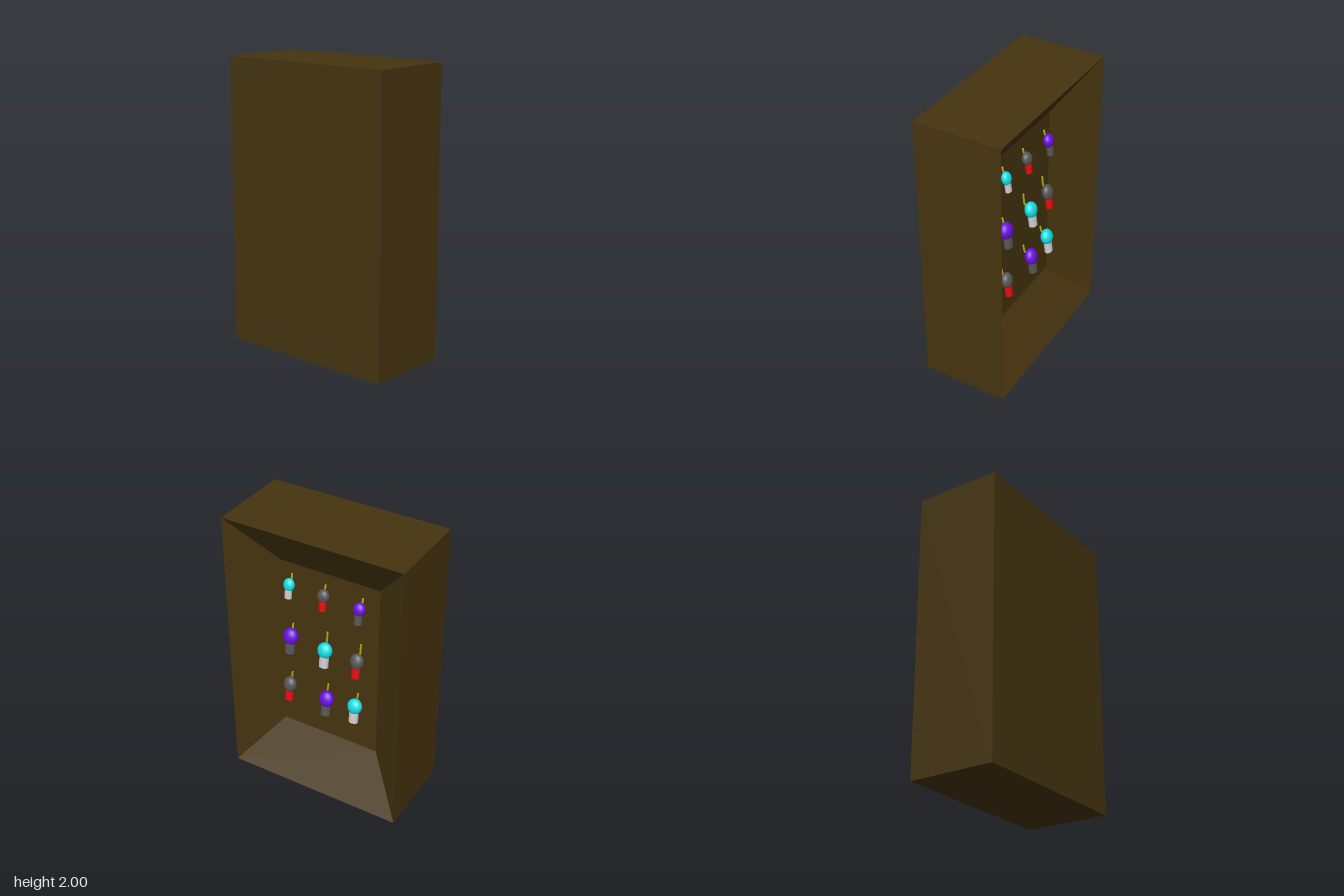
import * as THREE from 'three';

const mat = (color) => new THREE.MeshStandardMaterial({ color });

function add(parent, name, geometry, material) {
  const mesh = new THREE.Mesh(geometry, material);
  mesh.name = name;
  parent.add(mesh);
  return mesh;
}

// Solid block with a tapered recess, lofted through rectangular rings along x
function cabinetGeometry() {
  const ring = (x, y0, y1, z) => [[x, y0, z], [x, y0, -z], [x, y1, -z], [x, y1, z]];
  const rings = [
    ring(-0.305, 0, 2, 0.647),
    ring(0.305, 0, 2, 0.647),
    ring(0.068, 0.345, 1.66, 0.368),
  ];
  const points = [];
  const quad = (a, b, c, d) => points.push(...a, ...b, ...c, ...a, ...c, ...d);
  for (let r = 0; r < 2; r++) {
    for (let i = 0; i < 4; i++) {
      const j = (i + 1) % 4;
      quad(rings[r][i], rings[r][j], rings[r + 1][j], rings[r + 1][i]);
    }
  }
  quad(...[...rings[0]].reverse());
  quad(...rings[2]);
  const g = new THREE.BufferGeometry();
  g.setAttribute('position', new THREE.Float32BufferAttribute(points, 3));
  g.computeVertexNormals();
  return g;
}

export function createModel() {
  const model = new THREE.Group();
  add(model, 'cabinet', cabinetGeometry(), mat(0x46340f));

  const gold = mat(0xb3a30f);
  const schemes = {
    cyan: [mat(0x10dde0), mat(0xcccccc)],
    grey: [mat(0x555555), mat(0xe00c0c)],
    purple: [mat(0x6a0fdc), mat(0x555555)],
  };

  // scheme, head x, y, z, head half-height, head half-width, body bottom y, stem top y, stem z
  const pegs = [
    ['cyan', 0.118, 1.523, 0.276, 0.046, 0.04, 1.427, 1.59, 0.271],
    ['grey', 0.117, 1.523, 0.016, 0.046, 0.042, 1.42, 1.587, 0.018],
    ['purple', 0.125, 1.515, -0.252, 0.048, 0.043, 1.411, 1.576, -0.257],
    ['purple', 0.115, 1.114, 0.276, 0.06, 0.056, 0.987, 1.2, 0.273],
    ['cyan', 0.138, 1.114, -0.005, 0.056, 0.053, 0.99, 1.225, 0.006],
    ['grey', 0.131, 1.109, -0.244, 0.057, 0.048, 0.987, 1.215, -0.247],
    ['grey', 0.125, 0.711, 0.286, 0.056, 0.049, 0.589, 0.79, 0.289],
    ['purple', 0.138, 0.711, -0.016, 0.06, 0.054, 0.586, 0.796, 0.001],
    ['cyan', 0.137, 0.737, -0.236, 0.056, 0.053, 0.615, 0.806, -0.231],
  ];

  for (const [scheme, x, y, z, halfHeight, halfWidth, bottom, top, stemZ] of pegs) {
    const [headMat, bodyMat] = schemes[scheme];
    const peg = new THREE.Group();
    peg.name = 'peg';
    model.add(peg);

    // Egg-shaped head, leaning back towards the panel
    const head = add(peg, 'pegHead', new THREE.SphereGeometry(1, 24, 16), headMat);
    head.scale.set(halfWidth * 0.75, halfHeight, halfWidth);
    head.position.set(x, y, z);
    head.rotation.z = 0.25;

    // Body hanging from the head, tilted slightly outwards
    const height = y - bottom;
    const radius = halfWidth * 0.64;
    const body = add(peg, 'pegBody', new THREE.CylinderGeometry(radius, radius, height, 20), bodyMat);
    body.scale.x = 0.8;
    body.position.set(x + 0.01, y - height / 2 + 0.003, z);
    body.rotation.z = 0.14;

    // Thin stem bending from the head up along the panel
    const path = new THREE.CatmullRomCurve3([
      new THREE.Vector3(x, y, z),
      new THREE.Vector3(0.098, y + halfHeight * 0.6, stemZ),
      new THREE.Vector3(0.088, (y + halfHeight + top) / 2, stemZ),
      new THREE.Vector3(0.086, top, stemZ),
    ]);
    add(peg, 'pegStem', new THREE.TubeGeometry(path, 16, 0.007, 8), gold);
    const tip = add(peg, 'stemTip', new THREE.SphereGeometry(0.007, 8, 6), gold);
    tip.position.set(0.086, top, stemZ);
  }
  return model;
}
